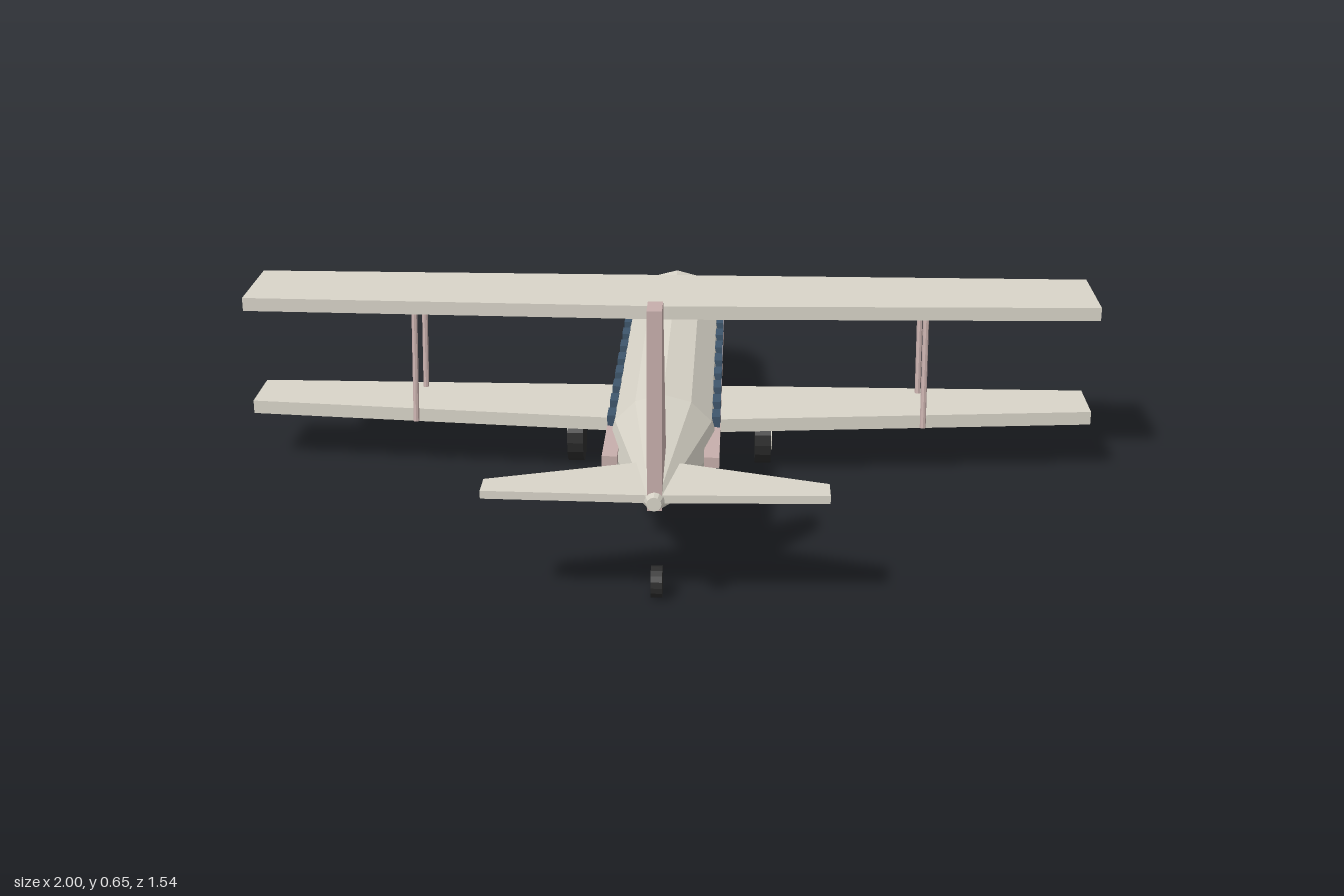
import * as THREE from 'three';

const mat = (name, color) => {
  const m = new THREE.MeshStandardMaterial({ color });
  m.name = name;
  m.flatShading = true;
  return m;
};

export function createModel() {
  const model = new THREE.Group();
  model.name = 'biplane';
  const cream = mat('cream', 0xd8d4c8);
  const pink = mat('dustyPink', 0xc6aeab);
  const blue = mat('windowBlue', 0x3f566c);
  const black = mat('tyreBlack', 0x2b2b2b);

  const add = (name, geometry, material, x = 0, y = 0, z = 0) => {
    const mesh = new THREE.Mesh(geometry, material);
    mesh.name = name;
    mesh.position.set(x, y, z);
    model.add(mesh);
    return mesh;
  };

  // Fuselage: a 12-sided tube shaped by [z, centre y, radius] sections, nose to tail
  const sections = [
    [-0.768, 0.17, 0.022], [-0.71, 0.187, 0.092], [-0.61, 0.198, 0.123],
    [0.31, 0.198, 0.123], [0.768, 0.263, 0.015],
  ];
  const body = new THREE.CylinderGeometry(1, 1, 1, 12, sections.length - 1);
  body.rotateX(Math.PI / 2);
  const p = body.attributes.position;
  for (let i = 0; i < p.count; i++) {
    const [z, cy, r] = sections[Math.round((p.getZ(i) + 0.5) * (sections.length - 1))];
    p.setXYZ(i, p.getX(i) * r, cy + p.getY(i) * r, z);
  }
  body.computeVertexNormals();
  add('fuselage', body, cream);

  // Flat surfaces: half planform of [x, z] points mirrored across x = 0
  const planform = (half, thickness) => {
    const mirrored = half.map(([x, z]) => [-x, z]).reverse();
    const shape = new THREE.Shape([...half, ...mirrored].map(([x, z]) => new THREE.Vector2(x, z)));
    const g = new THREE.ExtrudeGeometry(shape, { depth: thickness, bevelEnabled: false });
    return g.rotateX(Math.PI / 2).translate(0, thickness / 2, 0);
  };
  const wing = (lead, rootTrail, tipTrail) =>
    planform([[0.001, lead], [1, lead], [1, tipTrail], [0.001, rootTrail]], 0.032);
  add('upperWing', wing(-0.222, 0.022, -0.004), cream, 0, 0.413, 0);
  add('lowerWing', wing(-0.18, 0.055, -0.037), cream, 0, 0.143, 0);
  add('tailplane',
    planform([[0.001, 0.565], [0.35, 0.675], [0.35, 0.735], [0.001, 0.745]], 0.017),
    cream, 0, 0.264, 0);

  // Tail fin
  const finShape = new THREE.Shape([[0.54, 0.29], [0.748, 0.24], [0.738, 0.655], [0.675, 0.655]]
    .map(([z, y]) => new THREE.Vector2(z, y)));
  const fin = new THREE.ExtrudeGeometry(finShape, { depth: 0.03, bevelEnabled: false });
  fin.rotateY(-Math.PI / 2).translate(0.015, 0, 0);
  add('tailFin', fin, pink);

  // Slanted wing strut between two points
  const strut = (x, z0, z1) => {
    const a = new THREE.Vector3(x, 0.13, z0);
    const b = new THREE.Vector3(x, 0.405, z1);
    const dir = b.clone().sub(a);
    const mesh = add('wingStrut', new THREE.CylinderGeometry(0.007, 0.007, dir.length(), 8), pink);
    mesh.position.copy(a).add(b).multiplyScalar(0.5);
    mesh.quaternion.setFromUnitVectors(new THREE.Vector3(0, 1, 0), dir.normalize());
  };

  const disc = (r, width) => new THREE.CylinderGeometry(r, r, width, 16).rotateZ(Math.PI / 2);

  for (const s of [1, -1]) {
    strut(s * 0.6, 0.007, -0.033);
    strut(s * 0.6, -0.147, -0.185);

    // Side stripe and cabin windows
    add('sideStripe', new THREE.BoxGeometry(0.033, 0.024, 0.925), pink, s * 0.109, 0.225, 0);
    for (let i = 0; i < 8; i++) {
      add('cabinWindow', new THREE.BoxGeometry(0.018, 0.038, 0.05), blue,
        s * 0.116, 0.242, 0.263 - i * 0.0924);
    }

    // Main wheels with outer hubs
    add('mainWheel', disc(0.065, 0.038), black, s * 0.225, 0.067, -0.085);
    add('wheelHub', disc(0.034, 0.006), cream, s * 0.244, 0.067, -0.085);
  }

  add('tailWheel', disc(0.033, 0.024), black, 0, 0.035, 0.648);
  return model;
}
